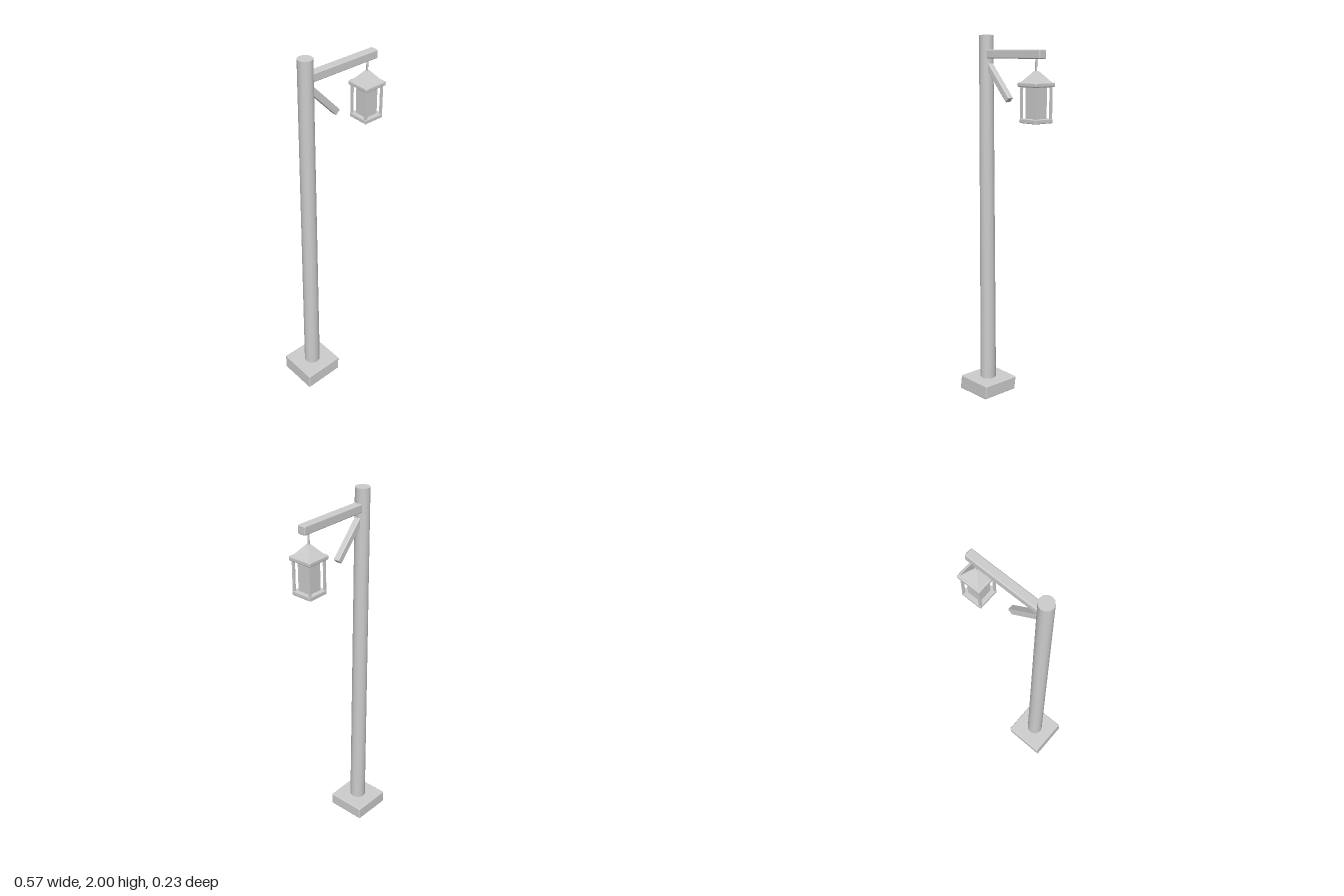
import * as THREE from 'three';
import { RoundedBoxGeometry } from 'three/addons/geometries/RoundedBoxGeometry.js';
import { toCreasedNormals } from 'three/addons/utils/BufferGeometryUtils.js';

const grey = new THREE.MeshStandardMaterial({ color: 0xcccccc });
grey.name = 'plain grey';

function add(parent, name, geometry, x, y, z = 0) {
  const mesh = new THREE.Mesh(geometry, grey);
  mesh.name = name;
  mesh.position.set(x, y, z);
  parent.add(mesh);
  return mesh;
}

const block = (w, h, d, r = 0.004) => new RoundedBoxGeometry(w, h, d, 2, r);

// Square-based frustum with flat sides aligned to the axes
function frustum(bottom, top, height) {
  const k = Math.SQRT1_2;
  const g = new THREE.CylinderGeometry(top * k, bottom * k, height, 4, 1);
  g.rotateY(Math.PI / 4);
  return toCreasedNormals(g, 0.5);
}

export function createModel() {
  const group = new THREE.Group();
  group.name = 'lanternPost';

  // Slightly skewed stone footing
  const footing = block(0.227, 0.08, 0.223, 0.006);
  const p = footing.attributes.position;
  for (let i = 0; i < p.count; i++) {
    const x = p.getX(i), y = p.getY(i), z = p.getZ(i);
    p.setXYZ(i, x + y * 0.08, y + 0.03 * x * (y > 0 ? 0.6 : 1), z * (1 - x * 0.1) - y * 0.06);
  }
  footing.computeBoundingBox();
  footing.translate(0, -footing.boundingBox.min.y, 0);
  add(group, 'footing', footing, -0.17, 0);

  // Tapered round post
  const post = new THREE.CylinderGeometry(0.038, 0.045, 1.93, 12, 4);
  add(group, 'post', toCreasedNormals(post, 0.7), -0.169, 1.035);

  // Cross arm and diagonal brace
  add(group, 'arm', block(0.415, 0.045, 0.045, 0.006), 0.055, 1.903);
  const brace = add(group, 'brace', block(0.24, 0.034, 0.032), -0.066, 1.759);
  brace.rotation.z = -0.82;

  // Hanging lantern
  const lantern = new THREE.Group();
  lantern.name = 'lantern';
  lantern.position.x = 0.217;
  group.add(lantern);
  add(lantern, 'hangingRod', new THREE.CylinderGeometry(0.005, 0.005, 0.08, 8), -0.002, 1.85);
  add(lantern, 'roof', frustum(0.112, 0.016, 0.056), 0, 1.795);
  add(lantern, 'eaves', block(0.133, 0.023, 0.133, 0.006), 0, 1.757);
  add(lantern, 'glassBox', new THREE.BoxGeometry(0.074, 0.165, 0.074), 0, 1.667);
  add(lantern, 'lanternFloor', block(0.117, 0.022, 0.117), 0, 1.58);
  for (const sx of [-1, 1]) {
    for (const sz of [-1, 1]) {
      add(lantern, 'cornerBar', new THREE.BoxGeometry(0.011, 0.165, 0.011), sx * 0.051, 1.667, sz * 0.051);
    }
  }
  return group;
}
